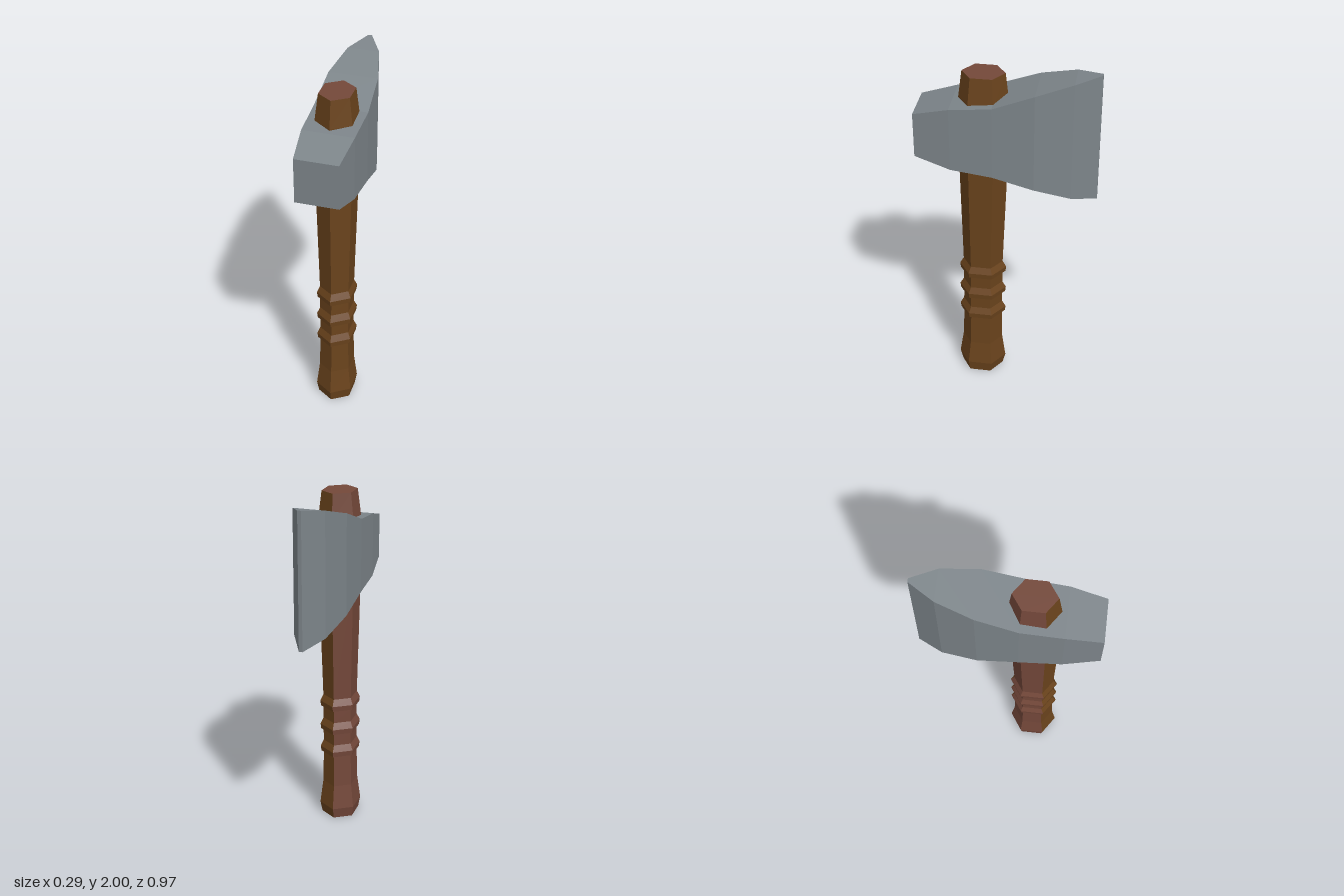
import * as THREE from 'three';

const material = (color) => new THREE.MeshStandardMaterial({ color, flatShading: true });

// Joins equal cross-sections (counterclockwise seen from the end) and caps both ends.
// slot(side) picks the material index of each side; the caps use capSlot.
function loft(rings, slot = () => 0, capSlot = 0) {
  const n = rings[0].length;
  const buckets = [[], []];
  const tri = (k, ...points) => points.forEach((p) => buckets[k].push(...p));
  for (let r = 0; r < rings.length - 1; r++) {
    for (let i = 0; i < n; i++) {
      const j = (i + 1) % n;
      const [a, b, c, d] = [rings[r][i], rings[r][j], rings[r + 1][j], rings[r + 1][i]];
      tri(slot(i), a, b, c);
      tri(slot(i), a, c, d);
    }
  }
  const first = rings[0];
  const last = rings[rings.length - 1];
  for (let i = 1; i < n - 1; i++) {
    tri(0, first[0], first[i + 1], first[i]);
    tri(capSlot, last[0], last[i], last[i + 1]);
  }
  const geometry = new THREE.BufferGeometry();
  geometry.setAttribute('position', new THREE.Float32BufferAttribute(buckets.flat(), 3));
  geometry.addGroup(0, buckets[0].length / 3, 0);
  geometry.addGroup(buckets[0].length / 3, buckets[1].length / 3, 1);
  geometry.computeVertexNormals();
  return geometry;
}

// Six-sided handle section, narrower across x; the handle leans slightly towards the back
function handleRing([y, halfWidth, halfDepth]) {
  const centre = 0.157 - 0.015 * y;
  return Array.from({ length: 6 }, (_, i) => {
    const a = (i * Math.PI) / 3;
    return [(halfWidth * Math.sin(a)) / Math.sin(Math.PI / 3), y, centre + halfDepth * Math.cos(a)];
  });
}

// Head section at one depth
const headRing = ([z, halfWidth, bottom, top]) => [
  [-halfWidth, bottom, z], [halfWidth, bottom, z], [halfWidth, top, z], [-halfWidth, top, z],
];

export function createModel() {
  const model = new THREE.Group();

  // Handle profile: height, half width, half depth
  const profile = [[0, 0.093, 0.122], [0.065, 0.103, 0.138], [0.21, 0.087, 0.117]];
  // Three raised grip bands
  for (const y of [0.407, 0.552, 0.7]) {
    profile.push(
      [y, 0.083, 0.112], [y + 0.003, 0.095, 0.13],
      [y + 0.034, 0.098, 0.134], [y + 0.072, 0.083, 0.113],
    );
  }
  profile.push([1.44, 0.099, 0.133], [1.82, 0.1, 0.133], [1.97, 0.083, 0.115]);

  const wood = material(0x6a431c);
  const redWood = material(0x74483a);
  const handle = new THREE.Mesh(
    loft(profile.map(handleRing), (side) => (side === 3 || side === 4 ? 1 : 0), 1),
    [wood, redWood],
  );
  handle.name = 'handle';
  model.add(handle);

  // Head from cutting edge to blunt face: depth, half width, bottom, top
  const sections = [
    [-0.485, 0.01, 1.26, 2.0], [-0.35, 0.087, 1.295, 1.975], [-0.155, 0.135, 1.36, 1.918],
    [0.065, 0.145, 1.425, 1.835], [0.29, 0.14, 1.45, 1.81], [0.485, 0.118, 1.505, 1.757],
  ];
  const head = new THREE.Mesh(loft(sections.map(headRing)), material(0x7d858a));
  head.name = 'axeHead';
  model.add(head);

  return model;
}
